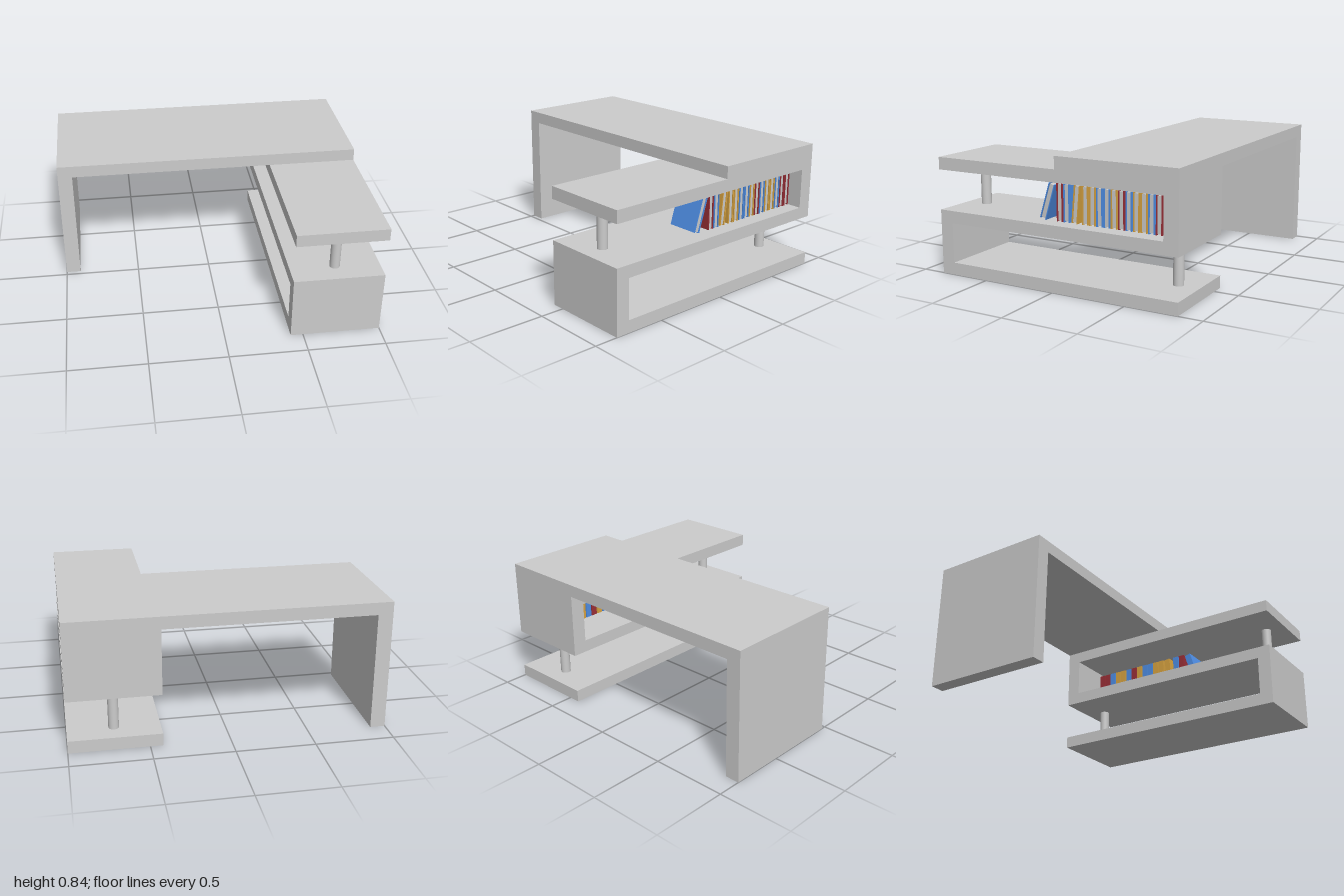
import * as THREE from 'three';

const grey = new THREE.MeshStandardMaterial({ color: 0xcccccc });
const covers = {
  b: new THREE.MeshStandardMaterial({ color: 0x4f8fe6 }),
  r: new THREE.MeshStandardMaterial({ color: 0x9c3038 }),
  y: new THREE.MeshStandardMaterial({ color: 0xd9a441 }),
};

function part(name, geometry, material, x = 0, y = 0, z = 0) {
  const mesh = new THREE.Mesh(geometry, material);
  mesh.name = name;
  mesh.position.set(x, y, z);
  return mesh;
}

function extrude(points, depth) {
  const shape = new THREE.Shape(points.map(([a, b]) => new THREE.Vector2(a, b)));
  return new THREE.ExtrudeGeometry(shape, { depth, bevelEnabled: false });
}

// Hardback book centred on its origin: two boards, a spine and a page block
function book(color, width, height, thick) {
  const g = new THREE.Group();
  const t = 0.007;
  g.name = 'book';
  const board = new THREE.BoxGeometry(width, height, t);
  for (const s of [-1, 1]) g.add(part('cover', board, covers[color], 0, 0, s * (thick - t) / 2));
  g.add(part('spine', new THREE.BoxGeometry(t, height, thick - 2 * t), covers[color], -(width - t) / 2));
  g.add(part('pages', new THREE.BoxGeometry(width - 2 * t, height - 0.012, thick - 2 * t), grey));
  return g;
}

export function createModel() {
  const model = new THREE.Group();
  model.name = 'cornerDesk';
  const D = 0.845;

  // Desktop with its side panel leg
  model.add(part('desktopAndLeg', extrude([
    [-1, 0], [-0.905, 0], [-0.905, 0.76], [1, 0.76], [1, 0.84], [-1, 0.84],
  ], 0.815), grey, 0, 0, -D));

  // Folded S-shaped shelf unit
  const shelf = part('shelfUnit', extrude([
    [-D, 0], [D, 0], [D, 0.42], [-0.75, 0.42], [-0.75, 0.68], [D, 0.68],
    [D, 0.76], [-D, 0.76], [-D, 0.34], [0.755, 0.34], [0.755, 0.08], [-D, 0.08],
  ], 0.58), grey, 1);
  shelf.rotation.y = -Math.PI / 2;
  model.add(shelf);

  // Round posts holding the free ends
  const post = new THREE.CylinderGeometry(0.033, 0.033, 0.26, 32);
  model.add(part('frontPost', post, grey, 0.71, 0.55, 0.705));
  model.add(part('backPost', post, grey, 0.71, 0.21, -0.705));

  // Row of books, the third slightly tilted
  const books = new THREE.Group();
  books.name = 'books';
  [...'rbyyybbyrbyybrr'].forEach((color, i) => {
    const b = book(color, 0.205, 0.235, 0.042);
    const z = i < 2 ? -0.0494 * i : -0.18 - 0.0494 * (i - 3);
    b.position.set(0.803, 0.539, i === 2 ? -0.115 : z);
    if (i === 2) b.rotation.x = -0.09;
    books.add(b);
  });

  // Loose book leaning at the end of the row
  const leaning = book('b', 0.205, 0.232, 0.045);
  leaning.name = 'leaningBook';
  leaning.position.set(0.803, 0.538, 0.088);
  leaning.rotation.x = -0.3;
  books.add(leaning);
  model.add(books);

  return model;
}
